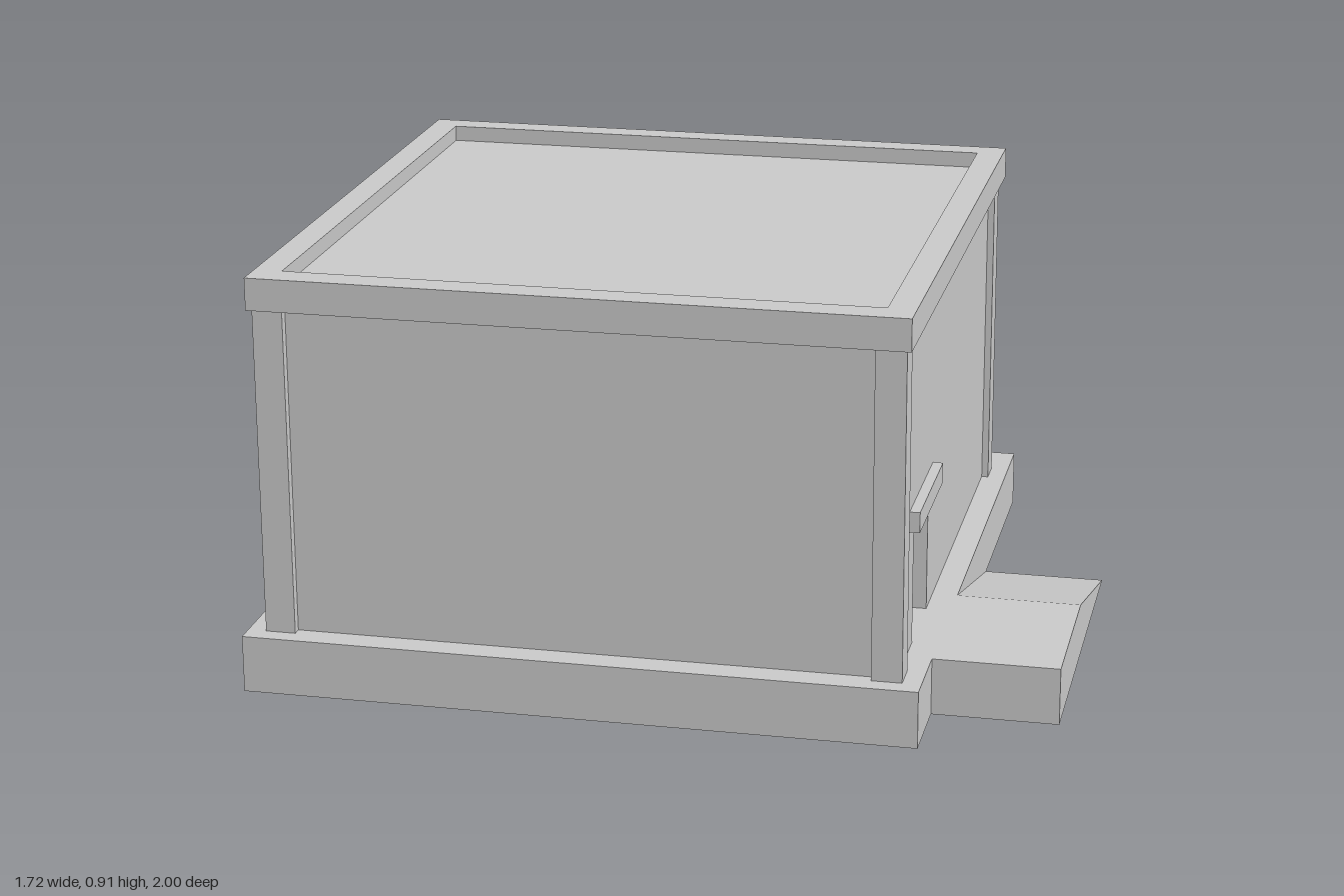
import * as THREE from 'three';

const solid = new THREE.MeshStandardMaterial({ color: 0xcccccc, flatShading: true });
const thin = new THREE.MeshStandardMaterial({ color: 0xcccccc, flatShading: true, side: THREE.DoubleSide });

export function createModel() {
  const model = new THREE.Group();

  const add = (name, geometry, material = solid, parent = model) => {
    const mesh = new THREE.Mesh(geometry, material);
    mesh.name = name;
    parent.add(mesh);
    return mesh;
  };
  // Box given by its limits on each axis
  const box = (name, x0, x1, y0, y1, z0, z1, parent = model) => {
    const g = new THREE.BoxGeometry(x1 - x0, y1 - y0, z1 - z0);
    g.translate((x0 + x1) / 2, (y0 + y1) / 2, (z0 + z1) / 2);
    return add(name, g, solid, parent);
  };
  const outline = (points) => new THREE.Shape(points.map(([x, y]) => new THREE.Vector2(x, y)));
  // Open shell: top surface (points counter-clockwise from above) with skirts down to the ground
  const shell = (name, top, skirts) => {
    const pos = [];
    const quad = (a, b, c, d) => pos.push(...a, ...b, ...c, ...a, ...c, ...d);
    quad(...top);
    const down = ([x, , z]) => [x, 0, z];
    for (const i of skirts) {
      const a = top[i], b = top[(i + 1) % 4];
      quad(a, down(a), down(b), b);
    }
    const g = new THREE.BufferGeometry();
    g.setAttribute('position', new THREE.Float32BufferAttribute(pos, 3));
    g.computeVertexNormals();
    return add(name, g, thin);
  };

  // Foundation, side landing and the two ramps, all open underneath
  const F = 0.125;
  shell('foundation', [[-0.86, F, 1], [0.59, F, 1], [0.59, F, -0.5], [-0.86, F, -0.5]], [0, 3]);
  // Foundation edges beside the landing and the back ramp
  const edge = (x0, z0, x1, z1) => {
    const g = new THREE.PlaneGeometry(Math.hypot(x1 - x0, z1 - z0), F);
    const m = add('foundationEdge', g, thin);
    m.position.set((x0 + x1) / 2, F / 2, (z0 + z1) / 2);
    m.rotation.y = Math.atan2(z0 - z1, x1 - x0);
  };
  edge(0.59, 1, 0.59, 0.82);
  edge(0.59, 0.455, 0.59, -0.5);
  edge(0.59, -0.5, 0.3, -0.5);
  edge(-0.57, -0.5, -0.86, -0.5);
  shell('sideLanding', [[0.59, F, 0.82], [0.86, F, 0.82], [0.86, F, 0.455], [0.59, F, 0.455]], [0, 1]);
  shell('sideRamp', [[0.59, F, 0.455], [0.86, F, 0.455], [0.86, 0, -0.02], [0.59, 0, -0.02]], [1]);
  shell('backRamp', [[-0.57, F, -0.5], [0.3, F, -0.5], [0.3, 0.012, -1], [-0.57, 0.012, -1]], [1, 2, 3]);

  // Corner posts
  for (const x of [-0.82, 0.485])
    for (const z of [-0.385, 0.895])
      box('cornerPost', x, x + 0.065, F, 0.845, z, z + 0.065);

  // Plain walls
  box('frontWall', -0.78, 0.51, F, 0.845, 0.89, 0.94);
  box('leftBlankWall', -0.8, -0.75, F, 0.845, -0.35, 0.92);

  // Back wall with the double door opening
  const back = outline([[-0.78, F], [-0.46, F], [-0.46, 0.675], [0.17, 0.675], [0.17, F],
    [0.51, F], [0.51, 0.845], [-0.78, 0.845]]);
  add('backWall', new THREE.ExtrudeGeometry(back, { depth: 0.05, bevelEnabled: false })).position.z = -0.37;

  // Side wall with a small opening, drawn in (-z, y) and turned to face +x
  const side = outline([[-0.92, F], [-0.74, F], [-0.74, 0.4], [-0.545, 0.4], [-0.545, F],
    [0.35, F], [0.35, 0.845], [-0.92, 0.845]]);
  const sideWall = add('sideWall', new THREE.ExtrudeGeometry(side, { depth: 0.05, bevelEnabled: false }));
  sideWall.rotation.y = Math.PI / 2;
  sideWall.position.x = 0.485;
  box('sideLintel', 0.53, 0.557, 0.395, 0.44, 0.485, 0.8);

  // Parapet ring and the sunken roof inside it
  const ring = outline([[-0.83, -0.97], [0.56, -0.97], [0.56, 0.43], [-0.83, 0.43]]);
  ring.holes.push(new THREE.Path([[-0.77, -0.905], [-0.77, 0.37], [0.5, 0.37], [0.5, -0.905]]
    .map(([x, y]) => new THREE.Vector2(x, y))));
  const parapet = add('parapet', new THREE.ExtrudeGeometry(ring, { depth: 0.07, bevelEnabled: false }));
  parapet.rotation.x = -Math.PI / 2;
  parapet.position.y = 0.84;
  box('roof', -0.775, 0.505, 0.842, 0.875, -0.375, 0.91);

  // Swung-open doors: leaf runs along local +x from the hinge, outside face given by s
  const door = (x, angle, width, s) => {
    const leaf = new THREE.Group();
    leaf.name = 'door';
    leaf.position.set(x, 0, -0.385);
    leaf.rotation.y = angle;
    model.add(leaf);
    box('doorPanel', 0, width, 0.132, 0.67, -0.008, 0.008, leaf);
    for (const y of [0.22, 0.56]) {
      const hinge = add('hinge', new THREE.CylinderGeometry(0.011, 0.011, 0.07, 8), solid, leaf);
      hinge.position.set(0, y, s * 0.008);
      box('hingePlate', 0, 0.025, y - 0.03, y + 0.03, -0.011, 0.011, leaf);
    }
    const grip = new THREE.CatmullRomCurve3([[0.27, 0], [0.285, 0.016], [0.315, 0.02], [0.345, 0.016], [0.36, 0]]
      .map(([y, z]) => new THREE.Vector3(width - 0.04, y, s * (0.008 + z))));
    add('doorHandle', new THREE.TubeGeometry(grip, 10, 0.005, 6), solid, leaf);
  };
  door(-0.46, 0.4, 0.325, -1);
  door(0.17, 0.41, 0.36, 1);

  return model;
}
